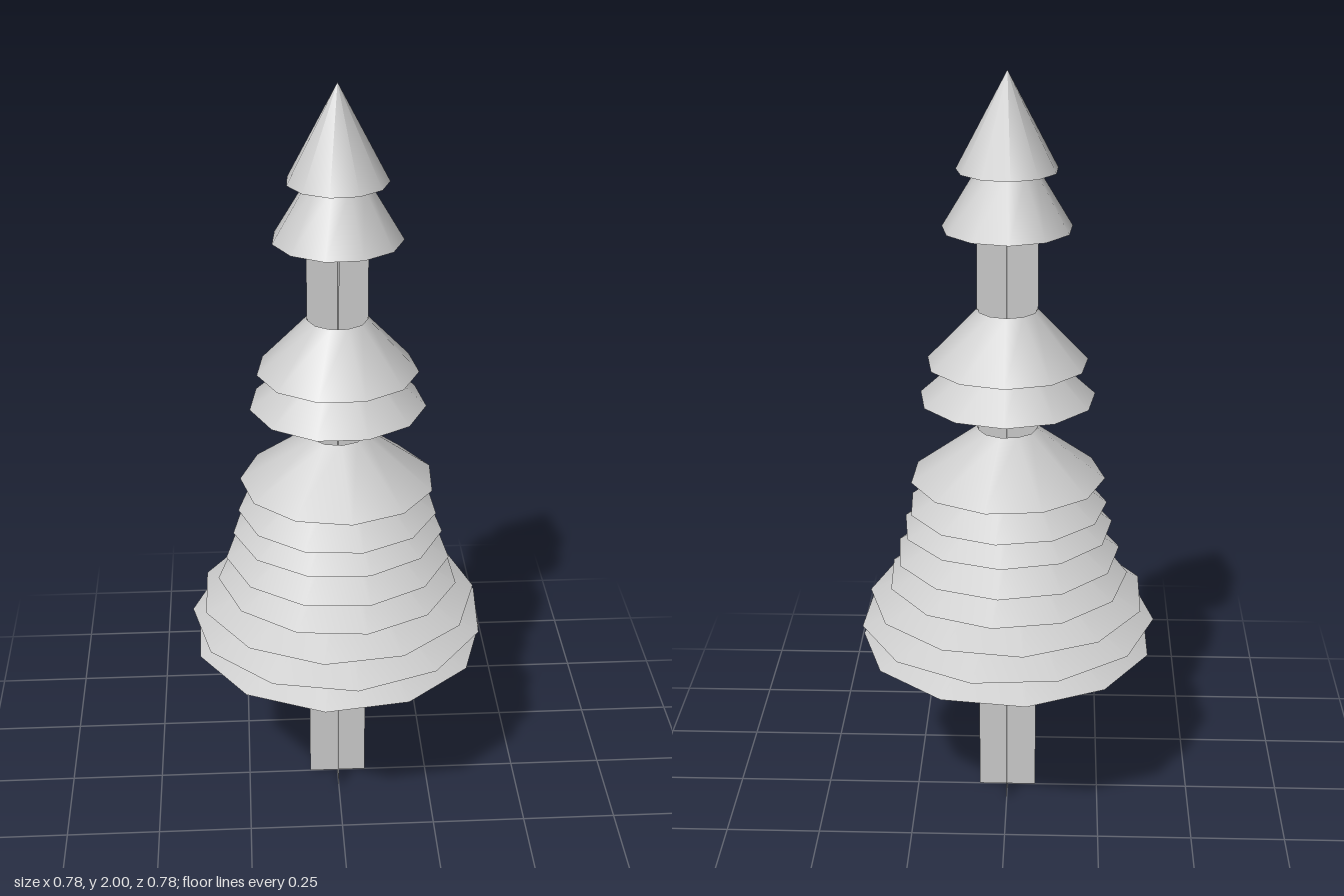
import * as THREE from 'three';

const SIDES = 11;
const TRUNK_WIDTH = 0.155;
const TRUNK_HEIGHT = 1.76;

// Foliage tiers: [bottom y, top y, bottom radius, top radius, turn in degrees]
const TIERS = [
  [0.475, 0.635, 0.39, 0.077, 24],
  [0.54, 0.70, 0.393, 0.077, 11.7],
  [0.605, 0.76, 0.368, 0.077, 24.8],
  [0.66, 0.81, 0.32, 0.077, 5.4],
  [0.73, 0.88, 0.298, 0.077, 3],
  [0.805, 0.95, 0.278, 0.077, 2],
  [0.865, 1.005, 0.262, 0.077, 5],
  [0.945, 1.08, 0.255, 0.077, 11],
  [1.165, 1.305, 0.228, 0.077, 0],
  [1.26, 1.4, 0.208, 0.077, 0],
  [1.61, 1.757, 0.165, 0.077, -3],
  [1.757, 2.0, 0.128, 0, -5],
];

export function createModel() {
  const tree = new THREE.Group();
  tree.name = 'tree';
  const material = new THREE.MeshStandardMaterial({ color: 0xcccccc, side: THREE.DoubleSide });

  // Trunk: two crossed upright cards
  const trunk = new THREE.Group();
  trunk.name = 'trunk';
  for (let i = 0; i < 2; i++) {
    const card = new THREE.Mesh(new THREE.PlaneGeometry(TRUNK_WIDTH, TRUNK_HEIGHT), material);
    card.name = 'trunkCard';
    card.position.y = TRUNK_HEIGHT / 2;
    card.rotation.y = i * Math.PI / 2;
    trunk.add(card);
  }
  tree.add(trunk);

  // Foliage: open skirts, each turned a little, with a pointed one on top
  const foliage = new THREE.Group();
  foliage.name = 'foliage';
  for (const [y0, y1, r0, r1, turn] of TIERS) {
    const skirt = new THREE.Mesh(new THREE.CylinderGeometry(r1, r0, y1 - y0, SIDES, 1, true), material);
    skirt.name = r1 ? 'branchTier' : 'treetop';
    skirt.position.y = (y0 + y1) / 2;
    skirt.rotation.y = Math.PI - THREE.MathUtils.degToRad(turn);
    foliage.add(skirt);
  }
  tree.add(foliage);
  return tree;
}
